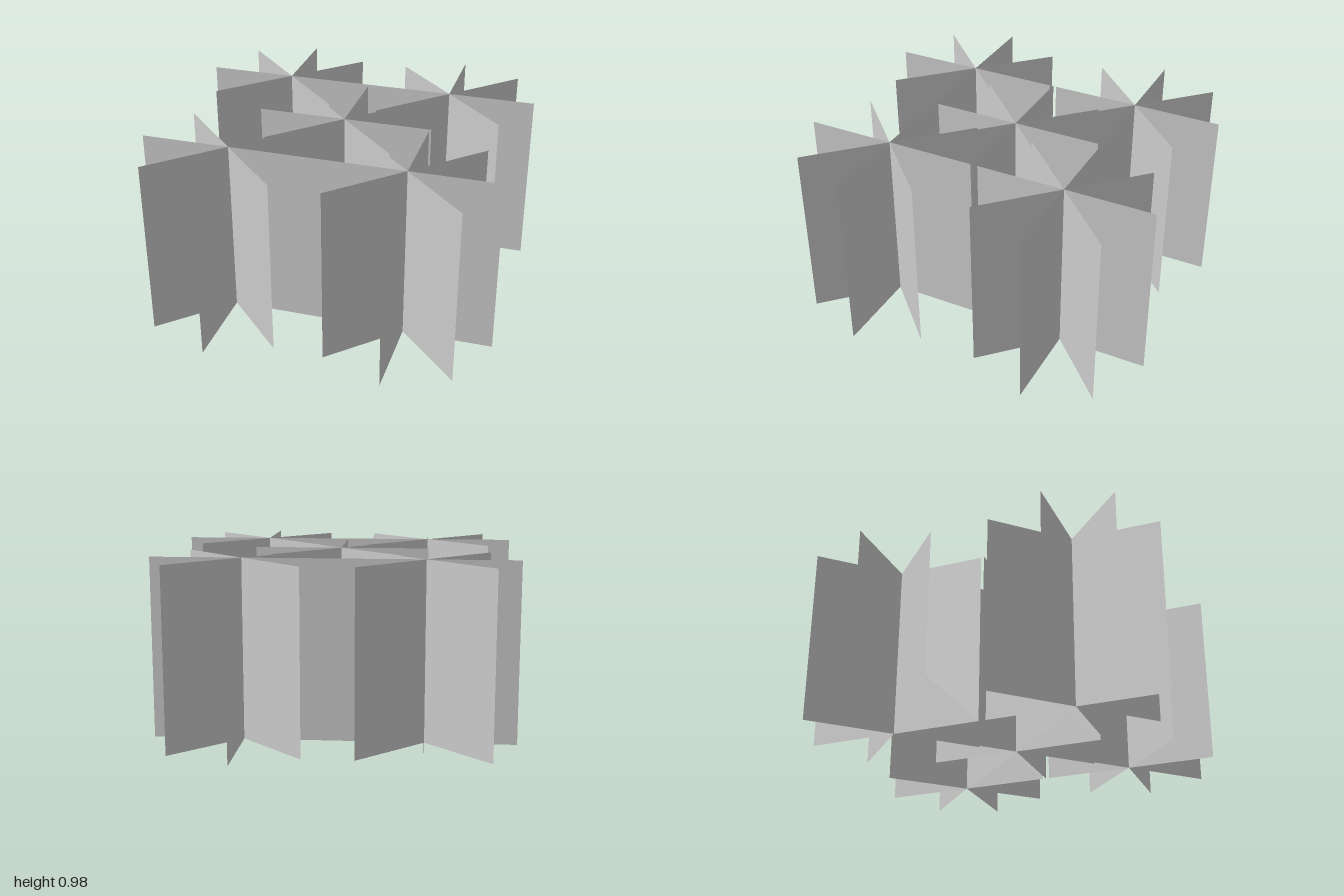
import * as THREE from 'three';

const SIZE = 0.98;      // width and height of each square card
const CARDS = 4;        // cards crossing in one clump
const DX = 0.483, DZ = 0.51; // offsets of the corner clumps

export function createModel() {
  const model = new THREE.Group();
  model.name = 'plantPatch';
  const material = new THREE.MeshStandardMaterial({ color: 0xcccccc, side: THREE.DoubleSide });
  const card = new THREE.PlaneGeometry(SIZE, SIZE).translate(0, SIZE / 2, 0);

  // One clump: upright cards crossing on a shared vertical axis
  function addClump(name, x, z) {
    const clump = new THREE.Group();
    clump.name = name;
    for (let i = 0; i < CARDS; i++) {
      const mesh = new THREE.Mesh(card, material);
      mesh.name = 'foliageCard';
      mesh.rotation.y = (i * Math.PI) / CARDS;
      clump.add(mesh);
    }
    clump.position.set(x, 0, z);
    model.add(clump);
  }

  // Centre clump and four around it
  addClump('centreClump', 0, 0);
  for (const sx of [-1, 1]) {
    for (const sz of [-1, 1]) {
      addClump((sz > 0 ? 'front' : 'back') + (sx > 0 ? 'Left' : 'Right') + 'Clump', sx * DX, sz * DZ);
    }
  }
  return model;
}
